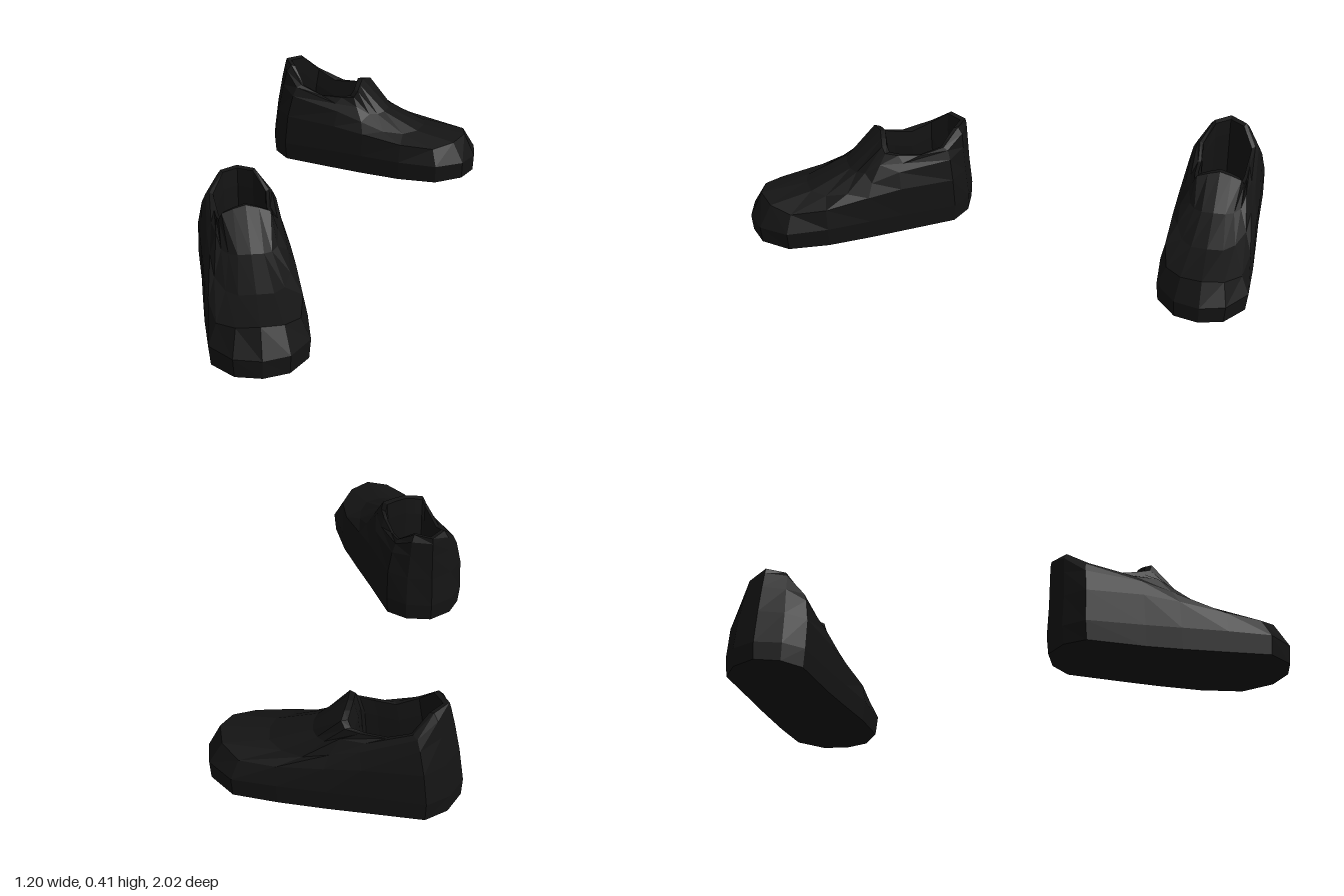
import * as THREE from 'three';

const material = new THREE.MeshStandardMaterial({ color: 0x141414, flatShading: true, side: THREE.DoubleSide });
const clamp = THREE.MathUtils.clamp;
const SIDES = 16;

// Half loops from heel centre to toe centre: [half width, z, y]
const WELT = [[0, -0.45, 0.08], [0.095, -0.415, 0.08], [0.155, -0.345, 0.08], [0.16, -0.13, 0.08], [0.167, 0, 0.08],
  [0.175, 0.17, 0.08], [0.17, 0.33, 0.08], [0.095, 0.425, 0.08], [0, 0.45, 0.08]];
const QUARTER = [[0, -0.44, 0.2], [0.09, -0.405, 0.2], [0.152, -0.34, 0.2], [0.157, -0.13, 0.2], [0.16, 0, 0.185],
  [0.16, 0.17, 0.16], [0.14, 0.305, 0.15], [0.08, 0.375, 0.168], [0, 0.4, 0.18]];
const INSTEP = [[0, -0.435, 0.3], [0.08, -0.4, 0.3], [0.135, -0.335, 0.285], [0.135, -0.13, 0.265], [0.135, -0.02, 0.235],
  [0.13, 0.08, 0.2], [0.1, 0.16, 0.188], [0.06, 0.21, 0.195], [0, 0.22, 0.2]];
const THROAT = [[0, -0.432, 0.36], [0.075, -0.398, 0.36], [0.12, -0.33, 0.32], [0.117, -0.15, 0.292], [0.108, -0.06, 0.295],
  [0.097, 0, 0.262], [0.075, 0.03, 0.258], [0.045, 0.05, 0.262], [0, 0.055, 0.265]];
const COLLAR = [[0, -0.428, 0.382], [0.062, -0.385, 0.385], [0.108, -0.315, 0.33], [0.1, -0.22, 0.305], [0.1, -0.135, 0.32],
  [0.095, -0.085, 0.335], [0.085, -0.075, 0.362], [0.045, -0.08, 0.375], [0, -0.085, 0.385]];

// Turns a half loop into a full one, heel -> left side -> toe -> right side
function fullLoop(half) {
  return Array.from({ length: SIDES }, (_, i) => {
    const [w, z, y] = half[i <= 8 ? i : SIDES - i];
    const centre = -0.022 * clamp((0.17 - z) / 0.5, 0, 1);
    return new THREE.Vector3((i <= 8 ? w : -w) + centre, y, z);
  });
}

// Loop pulled in towards the middle of the foot opening
function shrink(loop, s, height) {
  return loop.map(p => new THREE.Vector3(-0.02 + (p.x + 0.02) * s, height(p.y), -0.25 + (p.z + 0.25) * s));
}

// Skins neighbouring loops over a run of columns
function skin(name, loops, mirror, start = 0, count = SIDES) {
  const pos = [];
  const tri = (a, b, c) => {
    if (a.equals(b) || b.equals(c) || a.equals(c)) return;
    for (const p of mirror < 0 ? [a, c, b] : [a, b, c]) pos.push(p.x * mirror, p.y, p.z);
  };
  for (let k = 0; k < loops.length - 1; k++) {
    for (let j = 0; j < count; j++) {
      const i = (start + j) % SIDES, n = (i + 1) % SIDES;
      const a = loops[k][i], b = loops[k][n], c = loops[k + 1][n], d = loops[k + 1][i];
      tri(a, d, c);
      tri(a, c, b);
    }
  }
  const geometry = new THREE.BufferGeometry();
  geometry.setAttribute('position', new THREE.Float32BufferAttribute(pos, 3));
  geometry.computeVertexNormals();
  const mesh = new THREE.Mesh(geometry, material);
  mesh.name = name;
  return mesh;
}

// Tips the ankle part forward: heel rises, tongue sinks
function lean(p, amount) {
  const w = amount * clamp((p.y - 0.1) / 0.25, 0, 1);
  const dy = -0.15 * clamp(p.z + 0.27, -0.2, 0.19) * w;
  p.z += 0.1 * p.y * w;
  p.y += dy;
}

function makeShoe(name, mirror, leanAmount) {
  const [welt, quarter, instep, throat, collar] = [WELT, QUARTER, INSTEP, THROAT, COLLAR].map(fullLoop);
  const point = (y, z) => Array.from({ length: SIDES }, () => new THREE.Vector3(0, y, z));
  const tread = welt.map(p => new THREE.Vector3(p.x * 0.96, 0.013 * (p.z / 0.45) ** 2, p.z * 0.99));
  const rim = shrink(collar, 0.88, y => y - 0.003);
  const padding = shrink(collar, 0.85, y => y - 0.07);
  const footbed = shrink(collar, 0.9, () => 0.12);
  const bedCentre = point(0.115, -0.25);
  for (const loop of [welt, quarter, instep, throat, collar, rim, padding, footbed]) {
    loop.forEach(p => lean(p, leanAmount));
  }

  const shoe = new THREE.Group();
  shoe.name = name;
  shoe.add(
    skin('sole', [point(0, 0), tread, welt], mirror),
    skin('heelCounter', [welt, quarter, instep, throat], mirror, 14, 4),
    skin('toeCap', [welt, quarter, instep], mirror, 6, 4),
    skin('leftQuarter', [welt, quarter, instep], mirror, 2, 4),
    skin('rightQuarter', [welt, quarter, instep], mirror, 10, 4),
    skin('vamp', [instep, throat], mirror, 2, 12),
    skin('collarAndTongue', [throat, collar, rim], mirror),
    skin('lining', [rim, padding, footbed, bedCentre], mirror),
  );
  return shoe;
}

export function createModel() {
  const model = new THREE.Group();
  model.name = 'pairOfShoes';

  const frontShoe = makeShoe('frontShoe', 1, 0);
  frontShoe.position.set(-0.425, 0, 0.55);

  // The second shoe is a mirrored one, turned aside
  const backShoe = makeShoe('backShoe', -1, 1);
  backShoe.position.set(0.169, 0, -0.707);
  backShoe.rotation.y = Math.atan2(0.9, 0.43);

  model.add(frontShoe, backShoe);
  return model;
}
